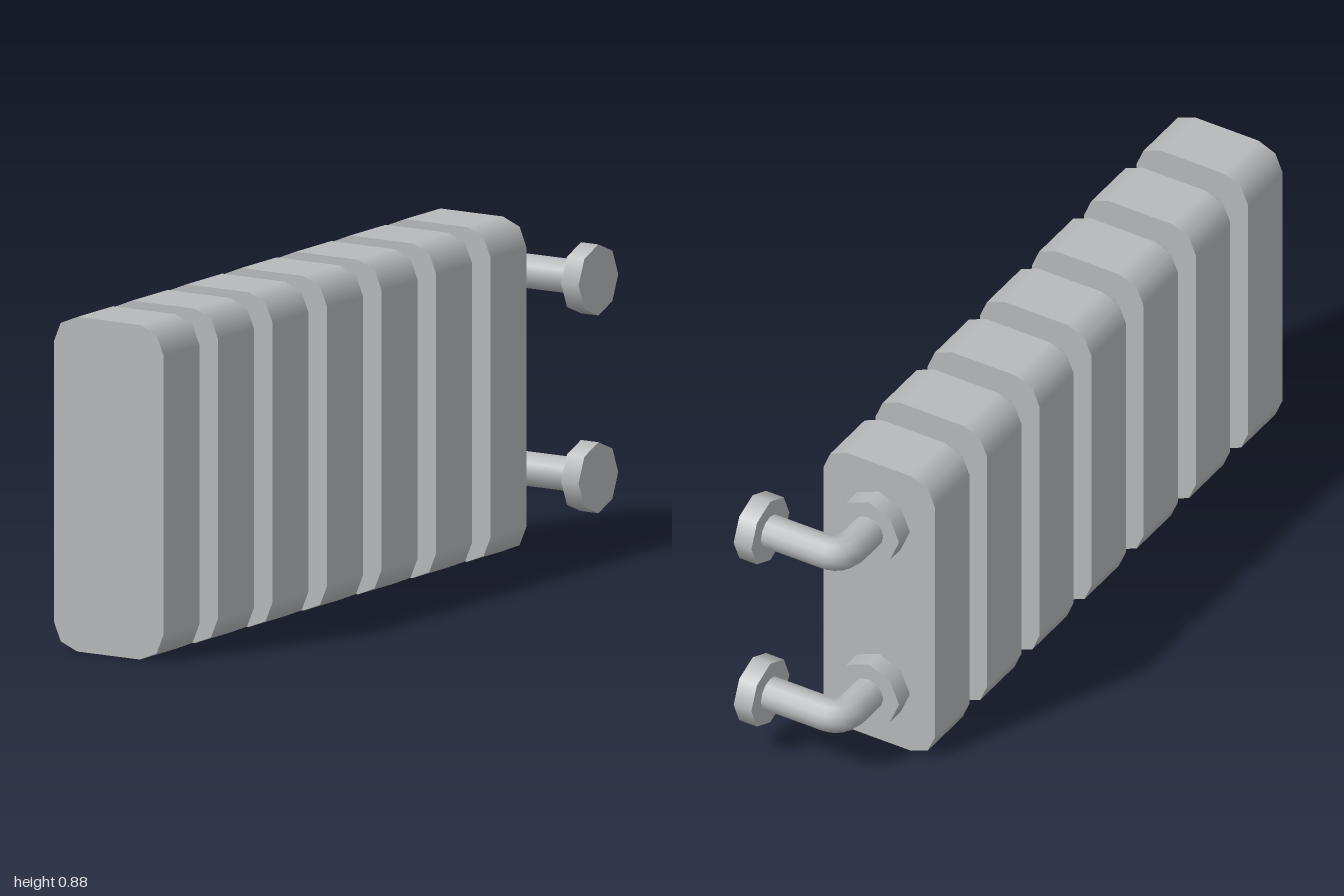
import * as THREE from 'three';

const CX = -0.05;           // centre line of the radiator body
const CY = 0.4425;
const FIN = { hw: 0.17, hh: 0.4425, r: 0.073, depth: 0.17, pitch: 0.2583, count: 7 };

// Rounded column with faceted corners and smooth rounded-corner normals
function finGeometry() {
  const { hw, hh, r, depth } = FIN;
  const ix = hw - r, iy = hh - r;
  const shape = new THREE.Shape();
  [[1, 1], [-1, 1], [-1, -1], [1, -1]].forEach(([sx, sy], i) => {
    shape.absarc(sx * ix, sy * iy, r, i * Math.PI / 2, (i + 1) * Math.PI / 2, false);
  });
  const geo = new THREE.ExtrudeGeometry(shape, { depth, bevelEnabled: false, curveSegments: 1 });
  const p = geo.attributes.position, n = geo.attributes.normal;
  const v = new THREE.Vector3();
  for (let i = 0; i < p.count; i++) {
    if (Math.abs(n.getZ(i)) > 0.5) continue;
    const x = p.getX(i), y = p.getY(i);
    v.set(x - THREE.MathUtils.clamp(x, -ix, ix), y - THREE.MathUtils.clamp(y, -iy, iy), 0).normalize();
    n.setXYZ(i, v.x, v.y, 0);
  }
  return geo;
}

// Four-sided core with soft shading across its edges
function coreGeometry(halfW, halfH, length) {
  const geo = new THREE.CylinderGeometry(Math.SQRT2, Math.SQRT2, length, 4, 1, false, Math.PI / 4);
  geo.rotateX(Math.PI / 2);
  const p = geo.attributes.position;
  for (let i = 0; i < p.count; i++) p.setXYZ(i, p.getX(i) * halfW, p.getY(i) * halfH, p.getZ(i));
  return geo;
}

// Pipe leaving the back and turning to the left side
function pipeGeometry() {
  const V = (x, z) => new THREE.Vector3(x, 0, z);
  const path = new THREE.CurvePath();
  path.add(new THREE.LineCurve3(V(CX, -0.73), V(CX, -0.855)));
  path.add(new THREE.QuadraticBezierCurve3(V(CX, -0.855), V(CX, -0.907), V(0, -0.907)));
  path.add(new THREE.LineCurve3(V(0, -0.907), V(0.18, -0.907)));
  return new THREE.TubeGeometry(path, 28, 0.046, 12, false);
}

export function createModel() {
  const group = new THREE.Group();
  const metal = new THREE.MeshStandardMaterial({ color: 0xb6b8ba });
  metal.name = 'grey metal';

  const add = (name, geo, x, y, z, parent = group) => {
    const mesh = new THREE.Mesh(geo, metal);
    mesh.name = name;
    mesh.position.set(x, y, z);
    parent.add(mesh);
    return mesh;
  };

  // Row of columns
  const fin = finGeometry();
  for (let i = 0; i < FIN.count; i++) {
    add('column' + (i + 1), fin, CX, CY, 1 - FIN.depth - i * FIN.pitch);
  }

  // Core joining the columns
  add('core', coreGeometry(0.085, 0.355, 1.6), CX, 0.445, 0.14);

  // Upper and lower pipes with their collars and end flanges
  const disc = new THREE.CylinderGeometry(0.094, 0.094, 0.054, 8);
  const pipe = pipeGeometry();
  [['lower', 0.182], ['upper', 0.705]].forEach(([level, y]) => {
    const fitting = new THREE.Group();
    fitting.name = level + 'PipeFitting';
    fitting.position.y = y;
    group.add(fitting);
    add(level + 'Pipe', pipe, 0, 0, 0, fitting);
    add(level + 'Collar', disc, CX, 0, -0.748, fitting).rotation.x = Math.PI / 2;
    add(level + 'Flange', disc, 0.194, 0, -0.906, fitting).rotation.z = Math.PI / 2;
  });

  return group;
}
